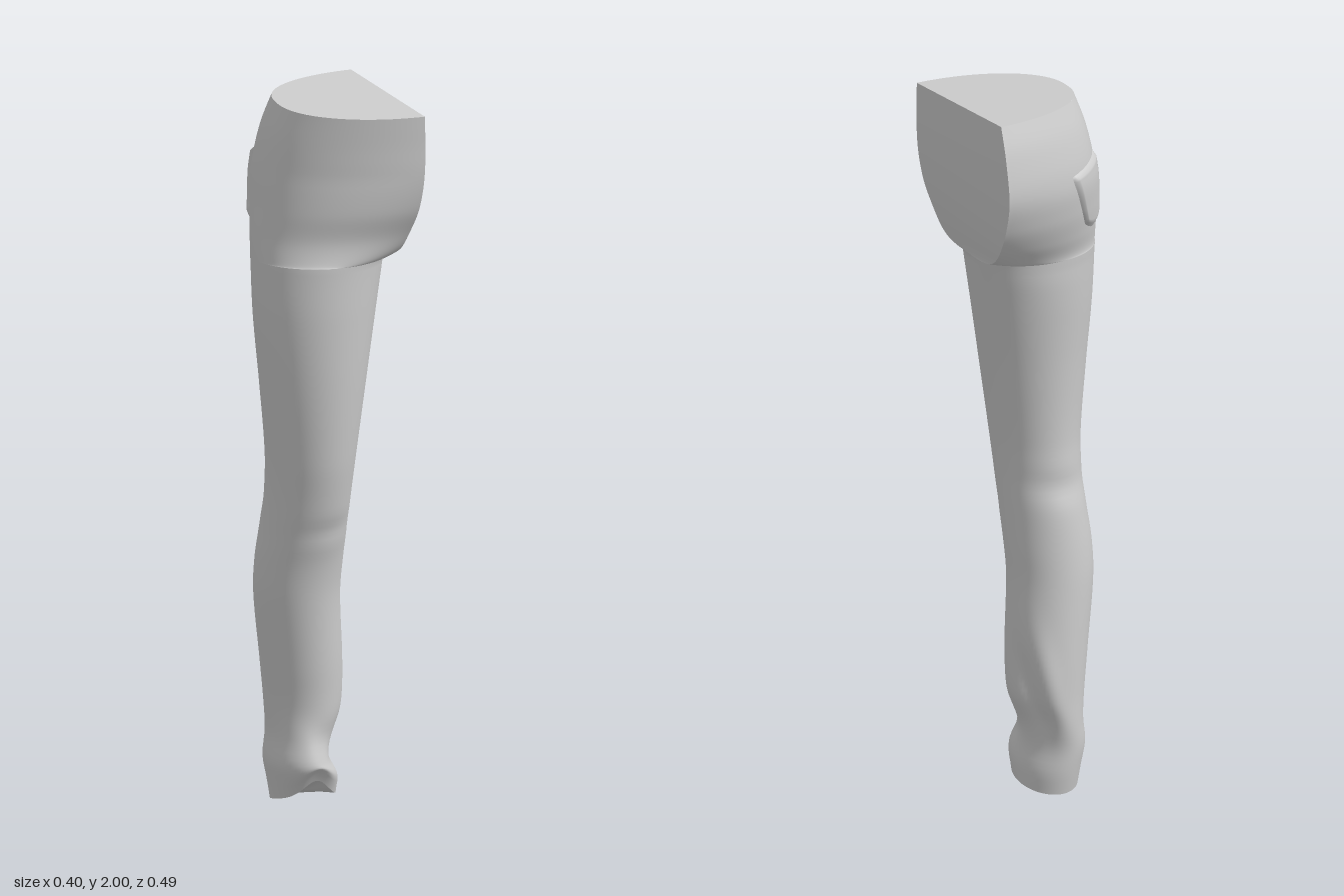
import * as THREE from 'three';
import { mergeVertices } from 'three/addons/utils/BufferGeometryUtils.js';

// Leg sections: height, outer x, inner x, front z, back z
const SECTIONS = [
  [0.00, -0.11, 0.06, 0.03, -0.18],
  [0.06, -0.12, 0.06, 0.055, -0.19],
  [0.13, -0.13, 0.045, 0.057, -0.195],
  [0.20, -0.12, 0.05, 0.045, -0.2],
  [0.28, -0.125, 0.078, 0.035, -0.2],
  [0.40, -0.14, 0.08, 0.045, -0.195],
  [0.60, -0.167, 0.066, 0.065, -0.18],
  [0.70, -0.168, 0.068, 0.082, -0.17],
  [0.80, -0.16, 0.07, 0.11, -0.157],
  [0.90, -0.156, 0.073, 0.132, -0.14],
  [1.00, -0.16, 0.08, 0.15, -0.13],
  [1.20, -0.18, 0.105, 0.17, -0.135],
  [1.40, -0.198, 0.135, 0.18, -0.15],
  [1.55, -0.2, 0.16, 0.182, -0.165],
  [1.62, -0.197, 0.172, 0.187, -0.19],
  [1.70, -0.19, 0.181, 0.215, -0.222],
  [1.80, -0.181, 0.185, 0.235, -0.243],
  [1.90, -0.164, 0.183, 0.243, -0.222],
  [1.985, -0.14, 0.178, 0.25, -0.187],
];
const CROTCH = 1.553, TOP = 1.985;
const { smoothstep, lerp } = THREE.MathUtils;

// Cloth folds: height, angle (degrees), lean (degrees per unit), height spread, angle spread, depth
const FOLDS = [
  [0.30, 330, 130, 0.12, 20, -0.02],
  [0.36, 298, 130, 0.12, 16, 0.008],
  [0.20, 70, 250, 0.05, 34, -0.012],
  [0.15, 25, -200, 0.04, 25, -0.01],
  [0.80, 80, -250, 0.03, 40, -0.006],
  [0.88, 270, 250, 0.04, 45, -0.008],
  [1.56, 275, 100, 0.05, 45, -0.008],
];

// Smooth interpolation of the section table
function section(y) {
  let i = 0;
  while (i < SECTIONS.length - 2 && y > SECTIONS[i + 1][0]) i++;
  const a = SECTIONS[i], b = SECTIONS[i + 1], h = b[0] - a[0], s = (y - a[0]) / h;
  const slope = (n, k) => {
    const p = SECTIONS[Math.max(n - 1, 0)], q = SECTIONS[Math.min(n + 1, SECTIONS.length - 1)];
    return (q[k] - p[k]) / (q[0] - p[0]);
  };
  return [1, 2, 3, 4].map((k) => {
    const s2 = s * s, s3 = s2 * s;
    return (2 * s3 - 3 * s2 + 1) * a[k] + (s3 - 2 * s2 + s) * h * slope(i, k)
      + (3 * s2 - 2 * s3) * b[k] + (s3 - s2) * h * slope(i + 1, k);
  });
}

// Angle at which the centre plane cuts the section; zero on the leg below the crotch
const cutAngle = (y) => y <= CROTCH ? 0
  : Math.PI / 2 * Math.min(1, Math.pow((y - CROTCH) / 0.25, 0.27));

// Point on the cloth at an angle and height, pushed outward by an offset
function clothPoint(y, t, offset = 0) {
  const [xl, xr, zf, zb] = section(y);
  const cut = cutAngle(y);
  const r = (xr - xl) / (1 + Math.cos(cut)), c = xl + r;
  const zc = (zf + zb) / 2, rz = (zf - zb) / 2;
  const hip = smoothstep(y, 1.4, 1.8);
  const cos = Math.cos(t), sin = Math.sin(t);
  const power = sin < 0 ? lerp(1, 0.75, hip) : 1;
  const deg = THREE.MathUtils.radToDeg(t);
  let push = offset;
  for (const [fy, fa, lean, sy, sa, depth] of FOLDS) {
    const dy = y - fy;
    let da = deg - fa - lean * dy;
    da -= 360 * Math.round(da / 360);
    push += depth * Math.exp(-((dy / sy) ** 2) - (da / sa) ** 2);
  }
  let x = c + (r + push) * cos;
  const z = zc + (rz + push) * Math.sign(sin) * Math.pow(Math.abs(sin), power);
  // the centre plane is slightly skewed, the waist slopes and the hem rises in front
  x += 0.055 * z * Math.sin(cut) * (x - xl) / (xr - xl);
  let py = y - 0.068 * (z - 0.03) * smoothstep(y, 1.8, TOP);
  const hem = 1 - smoothstep(y, 0, 0.16);
  py += hem * 0.2 * Math.max(0, z + 0.18);
  py += hem * 0.045 * Math.exp(-(((x + 0.03) / 0.045) ** 2)) * smoothstep(z, -0.08, 0.02);
  return new THREE.Vector3(x, py, z);
}

// Point by fraction round the open section, from front edge to back edge
function ringPoint(y, f) {
  const cut = cutAngle(y);
  return clothPoint(y, lerp(cut, 2 * Math.PI - cut, f));
}

// Surface grid from a point function of (row, column), both 0..1
function grid(point, rows, cols) {
  const pos = [], index = [];
  for (let i = 0; i <= rows; i++) {
    for (let j = 0; j <= cols; j++) {
      pos.push(...point(i / rows, j / cols).toArray());
      if (i === rows || j === cols) continue;
      const a = i * (cols + 1) + j, b = a + 1, d = a + cols + 1;
      index.push(a, d, b, d, d + 1, b);
    }
  }
  let g = new THREE.BufferGeometry();
  g.setAttribute('position', new THREE.Float32BufferAttribute(pos, 3));
  g.setIndex(index);
  g = mergeVertices(g, 1e-5);
  g.computeVertexNormals();
  return g;
}

// Closed rim, including the straight edge along the centre plane
const rimPoint = (y, f) => f < 0.9 ? ringPoint(y, f / 0.9)
  : ringPoint(y, 1).lerp(ringPoint(y, 0), (f - 0.9) / 0.1);

export function createModel() {
  const group = new THREE.Group();
  const material = new THREE.MeshStandardMaterial({ color: 0xcccccc });
  const add = (name, geometry) => {
    const mesh = new THREE.Mesh(geometry, material);
    mesh.name = name;
    group.add(mesh);
  };

  // Trouser leg and hip, with rows packed closely around the crotch
  const legShare = 0.7;
  const height = (v) => v <= legShare ? CROTCH * v / legShare
    : CROTCH + (TOP - CROTCH) * ((v - legShare) / (1 - legShare)) ** 2;
  add('trouserLeg', grid((v, f) => ringPoint(height(v), f), 120, 80));

  // Flat face along the centre seam
  add('centreFace', grid((v, s) => {
    const y = CROTCH + (TOP - CROTCH) * v * v;
    return ringPoint(y, 1).lerp(ringPoint(y, 0), s);
  }, 36, 12));

  // Closed waist and hem
  const waistCentre = new THREE.Vector3(0.06, 1.985, 0.03);
  add('waistCap', grid((v, f) => rimPoint(TOP, f).lerp(waistCentre, v), 6, 80));
  const hemCentre = new THREE.Vector3(-0.025, 0.035, -0.075);
  add('hemCap', grid((v, f) => hemCentre.clone().lerp(ringPoint(0, f), v), 6, 80));

  // Back pocket, a raised patch that narrows to its lower point
  add('backPocket', grid((v, s) => {
    const side = 2 * s - 1;
    const edge = Math.min(1, 6 * (1 - Math.abs(side)), 7 * v, 14 * (1 - v));
    const angle = 216 + side * lerp(13, 17, v);
    const y = lerp(1.615 + 0.03 * side * side, 1.83 - 0.012 * side, v);
    return clothPoint(y, THREE.MathUtils.degToRad(angle), lerp(-0.004, 0.009, edge));
  }, 28, 24));

  return group;
}
